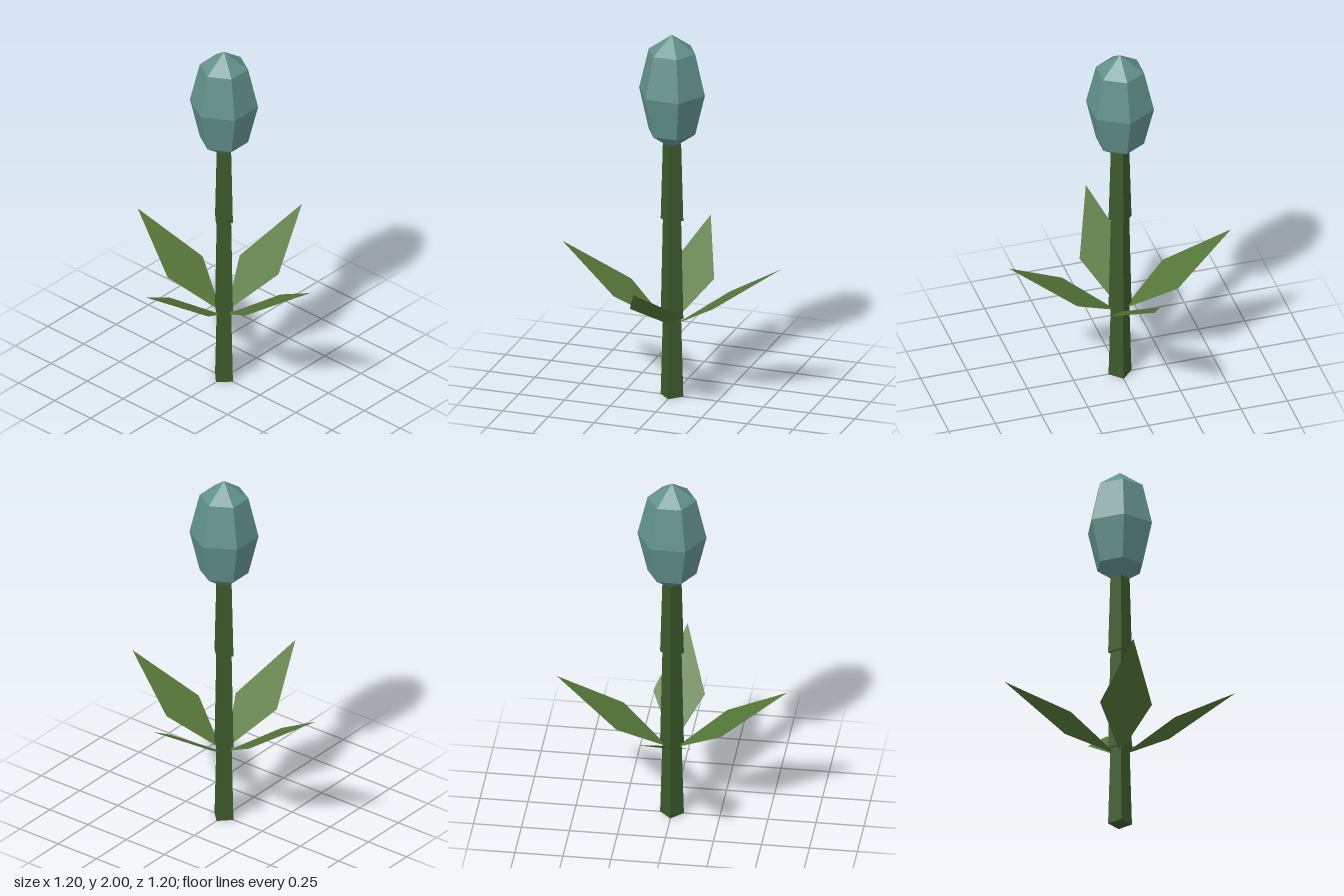
import * as THREE from 'three';

const material = (color, side = THREE.FrontSide) =>
  new THREE.MeshStandardMaterial({ color, side, flatShading: true });

export function createModel() {
  const model = new THREE.Group();
  model.name = 'flower';
  const stemMat = material(0x3b5a2c);
  const leafMat = material(0x557638, THREE.DoubleSide);
  const budMat = material(0x62918a);

  // Stem: three stacked, tapering four-sided segments
  const joints = [0, 0.43, 0.975, 1.4];
  for (let i = 0; i < 3; i++) {
    const height = joints[i + 1] - joints[i];
    const segment = new THREE.Mesh(new THREE.CylinderGeometry(0.05, 0.062, height, 4), stemMat);
    segment.name = `stemSegment${i + 1}`;
    segment.position.y = joints[i] + height / 2;
    model.add(segment);
  }

  // Leaves: four flat kites leaning outward from the stem
  const kite = new THREE.Shape([
    new THREE.Vector2(0, 0),
    new THREE.Vector2(0.135, 0.3),
    new THREE.Vector2(0, 0.694),
    new THREE.Vector2(-0.135, 0.3),
  ]);
  const leafGeometry = new THREE.ShapeGeometry(kite);
  leafGeometry.rotateX(Math.atan2(0.58, 0.381));
  leafGeometry.translate(0, 0.397, 0.02);
  for (let i = 0; i < 4; i++) {
    const leaf = new THREE.Mesh(leafGeometry, leafMat);
    leaf.name = `leaf${i + 1}`;
    leaf.rotation.y = (i * Math.PI) / 2;
    model.add(leaf);
  }

  // Bud: stretched six-sided faceted sphere with corners on the z axis
  const bud = new THREE.Mesh(new THREE.SphereGeometry(1, 6, 4), budMat);
  bud.geometry.rotateY(Math.PI / 6);
  bud.geometry.scale(0.18, 0.315, 0.18);
  bud.name = 'bud';
  bud.position.y = 1.685;
  model.add(bud);

  return model;
}
